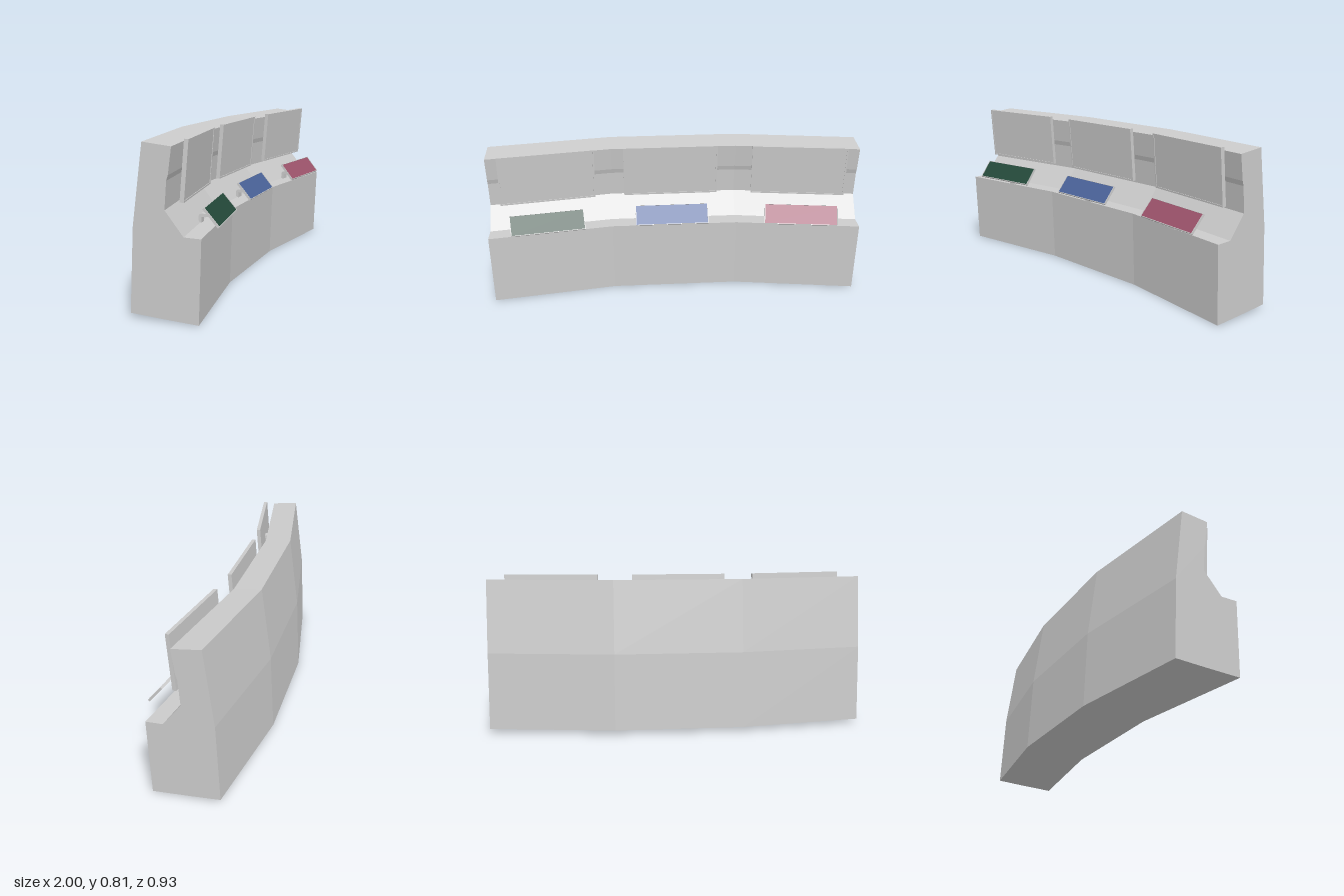
import * as THREE from 'three';

const grey = () => new THREE.MeshStandardMaterial({ color: 0xcccccc, flatShading: true });
const deg = THREE.MathUtils.degToRad;

function part(name, geometry, material, x = 0, y = 0, z = 0) {
  const mesh = new THREE.Mesh(geometry, material);
  mesh.name = name;
  mesh.position.set(x, y, z);
  return mesh;
}

// Desk body: one cross-section swept, without turning, along a bent path
function deskBody() {
  const path = [[-0.895, 0.46], [-0.3, 0.17], [0.345, -0.03], [1, -0.13]]; // x, z of the front edge
  const profile = [ // depth from the front edge, height
    [-0.015, 0], [0, 0.39], [-0.08, 0.392], [-0.165, 0.505], [-0.155, 0.635], [-0.147, 0.66],
    [-0.13, 0.785], [-0.265, 0.8], [-0.315, 0.42], [-0.335, 0.02], [-0.19, 0.01],
  ];
  const skew = 0.3; // sideways shift of the section per unit of depth
  const n = profile.length;
  const out = [];
  const put = (i, k) => {
    const [d, y] = profile[k % n];
    out.push(path[i][0] + skew * d, y, path[i][1] + d);
  };
  for (let i = 0; i < path.length - 1; i++) {
    for (let k = 0; k < n; k++) {
      put(i, k); put(i + 1, k); put(i + 1, k + 1);
      put(i, k); put(i + 1, k + 1); put(i, k + 1);
    }
  }
  // End caps
  const outline = profile.map(([d, y]) => new THREE.Vector2(d, y));
  for (const tri of THREE.ShapeUtils.triangulateShape(outline, [])) {
    const ccw = THREE.ShapeUtils.area(tri.map((k) => outline[k])) > 0 ? tri : [...tri].reverse();
    ccw.forEach((k) => put(0, k));
    [...ccw].reverse().forEach((k) => put(path.length - 1, k));
  }
  const geometry = new THREE.BufferGeometry();
  geometry.setAttribute('position', new THREE.Float32BufferAttribute(out, 3));
  geometry.computeVertexNormals();
  return part('deskBody', geometry, grey());
}

const rectangle = (Type, w, h) => new Type([[-1, -1], [1, -1], [1, 1], [-1, 1]]
  .map(([x, y]) => new THREE.Vector2(x * w / 2, y * h / 2)));

// Thin frame with a face set just behind its front edge
function display(name, w, h, t, bezel, faceMaterial) {
  const group = new THREE.Group();
  group.name = name;
  const shape = rectangle(THREE.Shape, w, h);
  shape.holes.push(rectangle(THREE.Path, w - 2 * bezel, h - 2 * bezel));
  const frame = new THREE.ExtrudeGeometry(shape, { depth: t, bevelEnabled: false });
  group.add(part(name + 'Frame', frame, grey(), 0, 0, -t));
  const face = new THREE.BoxGeometry(w - 2 * bezel, h - 2 * bezel, t - 0.003);
  group.add(part(name + 'Face', face, faceMaterial, 0, 0, -t / 2 - 0.0015));
  group.rotation.order = 'YXZ';
  return group;
}

// Arched bracket that carries the small panel over the desk
function bracket() {
  const width = 0.045;
  const s = new THREE.Shape();
  s.moveTo(-0.005, 0.385);
  s.lineTo(-0.005, 0.42);
  s.quadraticCurveTo(-0.005, 0.435, 0.01, 0.435);
  s.lineTo(0.116, 0.435);
  s.lineTo(0.116, 0.425);
  s.lineTo(0.085, 0.425);
  s.lineTo(0.085, 0.385);
  s.lineTo(0.065, 0.385);
  s.lineTo(0.065, 0.42);
  s.lineTo(0.01, 0.42);
  s.lineTo(0.01, 0.385);
  const g = new THREE.ExtrudeGeometry(s, { depth: width, bevelEnabled: false, curveSegments: 4 });
  g.rotateY(-Math.PI / 2).translate(width / 2, 0, 0);
  return part('panelBracket', g, grey());
}

// One work place: upright screen, wall mount, coloured panel and bracket
function station({ x, z, yaw, shift, color }) {
  const group = new THREE.Group();
  group.name = 'station';
  group.position.set(x, 0, z);
  group.rotation.y = deg(yaw);

  const screen = display('screen', 0.505, 0.282, 0.02, 0.008, grey());
  screen.position.y = 0.67;
  screen.rotation.x = deg(5);
  group.add(screen);
  group.add(part('screenMount', new THREE.BoxGeometry(0.04, 0.035, 0.09), grey(), 0, 0.673, -0.06));

  const panel = display('controlPanel', 0.39, 0.11, 0.012, 0.003,
    new THREE.MeshStandardMaterial({ color }));
  panel.position.set(shift, 0.4625, 0.105);
  panel.rotation.x = deg(-39.5);
  group.add(panel, bracket());
  return group;
}

export function createModel() {
  const model = new THREE.Group();
  model.name = 'curvedConsole';
  model.add(deskBody());
  const stations = [
    { x: -0.632, z: 0.237, yaw: 26, shift: -0.02, color: 0x24493a },
    { x: -0.02, z: -0.006, yaw: 17.5, shift: 0, color: 0x4a6399 },
    { x: 0.652, z: -0.16, yaw: 9.4, shift: 0.02, color: 0x9c536b },
  ];
  for (const s of stations) model.add(station(s));
  return model;
}
